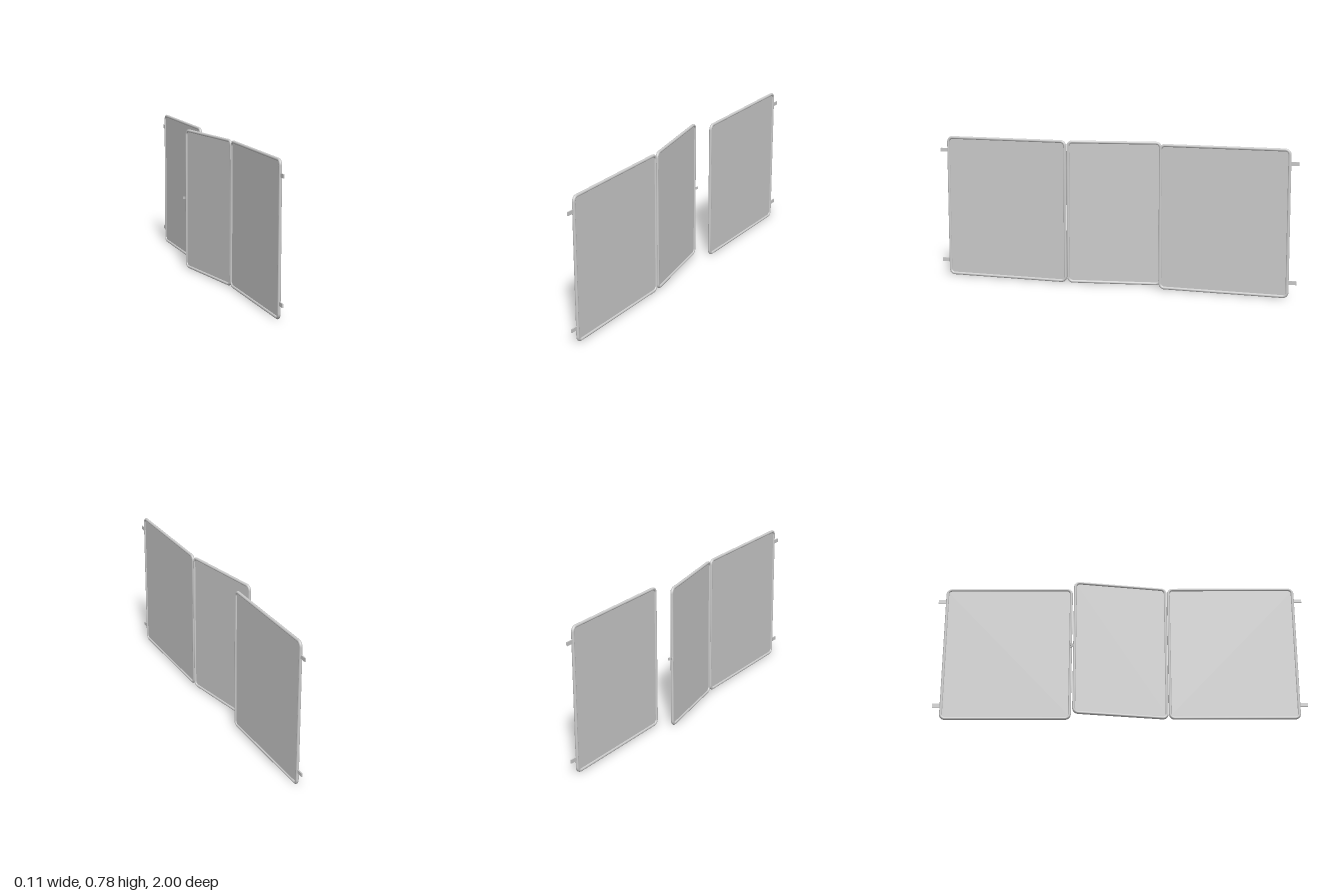
import * as THREE from 'three';

const HEIGHT = 0.78, TUBE = 0.008, BEND = 0.024;
const material = new THREE.MeshStandardMaterial({ color: 0xcccccc });

function addPart(parent, name, geometry, x = 0, y = 0, z = 0) {
  const mesh = new THREE.Mesh(geometry, material);
  mesh.name = name;
  mesh.position.set(x, y, z);
  parent.add(mesh);
  return mesh;
}

// Rounded rectangle centred on the origin
function roundedRect(w, h, r) {
  const s = new THREE.Shape();
  s.absarc(w / 2 - r, h / 2 - r, r, 0, Math.PI / 2);
  s.absarc(-w / 2 + r, h / 2 - r, r, Math.PI / 2, Math.PI);
  s.absarc(-w / 2 + r, -h / 2 + r, r, Math.PI, Math.PI * 1.5);
  s.absarc(w / 2 - r, -h / 2 + r, r, Math.PI * 1.5, Math.PI * 2);
  s.closePath();
  return s;
}

// Round-tube frame with bent corners and a thin infill sheet, in the local XY plane
function framedPanel(name, outerWidth) {
  const group = new THREE.Group();
  group.name = name;
  const w = outerWidth - 2 * TUBE, h = HEIGHT - 2 * TUBE;

  for (const s of [-1, 1]) {
    addPart(group, 'frameUpright', new THREE.CylinderGeometry(TUBE, TUBE, h - 2 * BEND, 16, 1, true), s * w / 2);
    addPart(group, 'frameRail', new THREE.CylinderGeometry(TUBE, TUBE, w - 2 * BEND, 16, 1, true), 0, s * h / 2)
      .rotation.z = Math.PI / 2;
  }
  for (let i = 0; i < 4; i++) {
    const sx = i === 0 || i === 3 ? 1 : -1, sy = i < 2 ? 1 : -1;
    addPart(group, 'frameCorner', new THREE.TorusGeometry(BEND, TUBE, 16, 10, Math.PI / 2),
      sx * (w / 2 - BEND), sy * (h / 2 - BEND)).rotation.z = i * Math.PI / 2;
  }

  const sheet = new THREE.ExtrudeGeometry(roundedRect(w, h, BEND), { depth: 0.003, bevelEnabled: false, curveSegments: 8 });
  addPart(group, 'infillSheet', sheet, 0, 0, -0.0015);
  group.position.y = HEIGHT / 2;
  return group;
}

export function createModel() {
  const model = new THREE.Group();
  model.name = 'gatePanels';

  // Fixed panels with mounting tabs on their outer ends
  for (const s of [-1, 1]) {
    const panel = framedPanel(s > 0 ? 'frontPanel' : 'backPanel', 0.7);
    panel.position.x = 0.046;
    panel.position.z = s * 0.61;
    panel.rotation.y = -s * Math.PI / 2;
    for (const y of [0.083, 0.702]) {
      addPart(panel, 'mountingTab', new THREE.BoxGeometry(0.044, 0.02, 0.006), 0.368, y - HEIGHT / 2);
    }
    model.add(panel);
  }

  // Door standing ajar, hinged beside the front panel
  const door = framedPanel('door', 0.516);
  door.position.x = 0.0025;
  door.position.z = 0.004;
  door.rotation.y = THREE.MathUtils.degToRad(100);
  // Forked latch on the free edge
  for (const s of [-1, 1]) {
    addPart(door, 'latchProng', new THREE.BoxGeometry(0.022, 0.015, 0.003), 0.265, 0.003, s * 0.006)
      .rotation.y = -s * 0.5;
  }
  model.add(door);

  return model;
}
